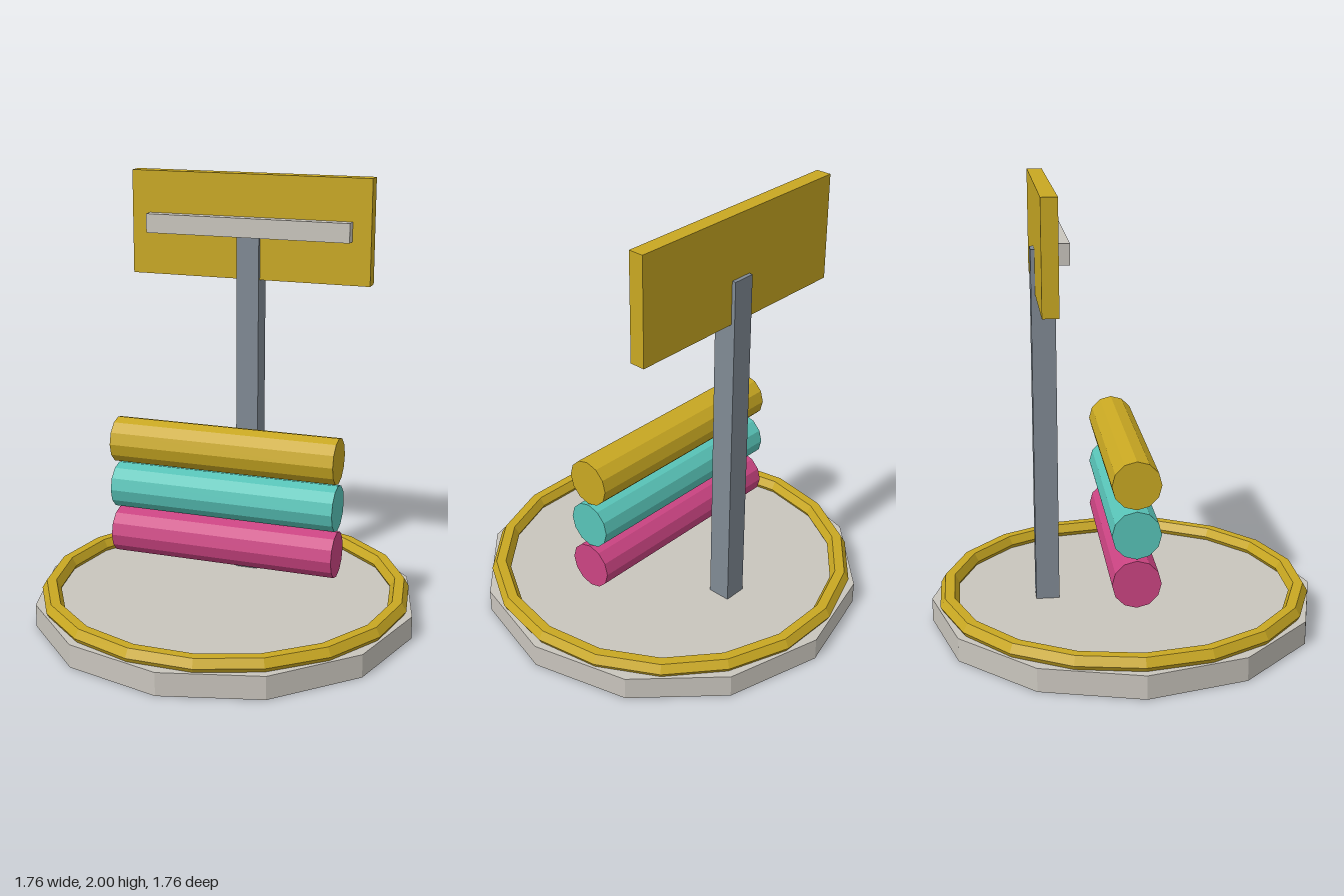
import * as THREE from 'three';

const material = (name, color) => {
  const m = new THREE.MeshStandardMaterial({ color, flatShading: true });
  m.name = name;
  return m;
};

export function createModel() {
  const gold = material('gold', 0xc9a822);
  const stone = material('stone grey', 0xc9c5bd);
  const slate = material('slate', 0x808a94);
  const teal = material('teal', 0x58c4b8);
  const pink = material('pink', 0xcb4482);

  const model = new THREE.Group();
  model.name = 'displayStand';

  const add = (name, geometry, mat, x, y, z) => {
    const mesh = new THREE.Mesh(geometry, mat);
    mesh.name = name;
    mesh.position.set(x, y, z);
    model.add(mesh);
    return mesh;
  };

  // Twelve-sided base with a faceted rim ring sunk into its top
  add('base', new THREE.CylinderGeometry(0.88, 0.88, 0.106, 12), stone, 0, 0.053, 0);
  const ring = new THREE.TorusGeometry(0.809, 0.044, 6, 18).rotateX(-Math.PI / 2);
  add('rimRing', ring, gold, 0, 0.126, 0);

  // Stack of floating rolls lying along x
  const roll = new THREE.CylinderGeometry(0.106, 0.106, 1.054, 12).rotateZ(Math.PI / 2);
  [['lowerRoll', pink], ['middleRoll', teal], ['upperRoll', gold]].forEach(([name, mat], i) => {
    add(name, roll, mat, 0, 0.355 + i * 0.22, 0);
  });

  // Post, sign board and the bar on its front
  add('post', new THREE.BoxGeometry(0.106, 1.612, 0.106), slate, 0, 0.911, -0.352);
  add('signBoard', new THREE.BoxGeometry(1.14, 0.48, 0.07), gold, 0, 1.76, -0.352);
  add('signBar', new THREE.BoxGeometry(0.968, 0.088, 0.052), stone, 0, 1.762, -0.292);

  return model;
}
